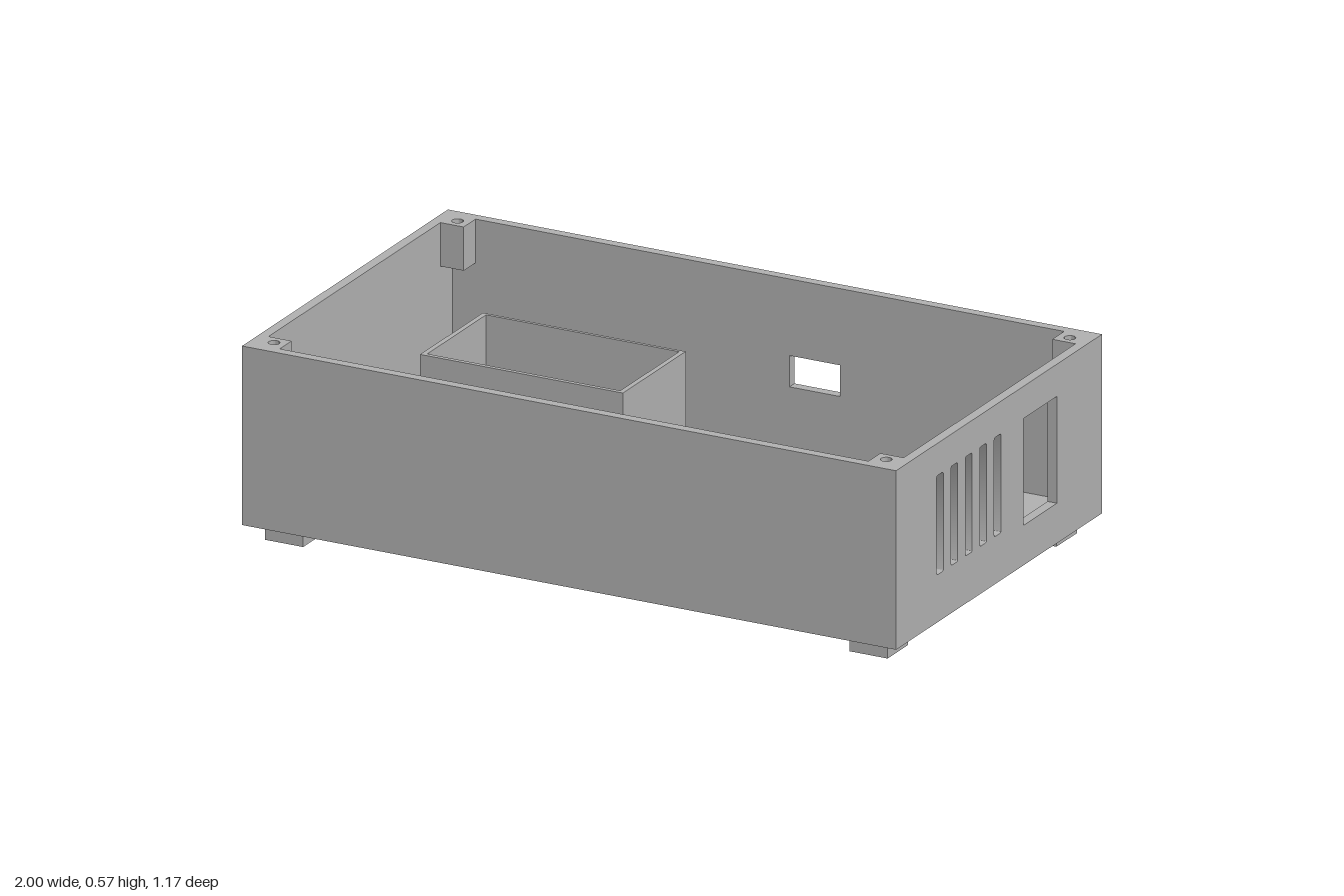
import * as THREE from 'three';
import { toCreasedNormals } from 'three/addons/utils/BufferGeometryUtils.js';

const D = 0.587, T = 0.029;             // half depth, wall thickness
const BASE = 0.05, FLOOR = 0.08, TOP = 0.566;

export function createModel() {
  const model = new THREE.Group();
  model.name = 'enclosure';
  const grey = new THREE.MeshStandardMaterial({ color: 0xb3b3b3 });
  grey.name = 'grey plastic';

  const rect = (a, b, c, d, r = 0, Kind = THREE.Path) => {
    const p = new Kind();
    if (!r) {
      p.moveTo(a, b).lineTo(c, b).lineTo(c, d).lineTo(a, d).closePath();
      return p;
    }
    p.absarc(c - r, b + r, r, -Math.PI / 2, 0);
    p.absarc(c - r, d - r, r, 0, Math.PI / 2);
    p.absarc(a + r, d - r, r, Math.PI / 2, Math.PI);
    p.absarc(a + r, b + r, r, Math.PI, Math.PI * 1.5);
    p.closePath();
    return p;
  };
  const solid = (a, b, c, d) => rect(a, b, c, d, 0, THREE.Shape);
  const circle = (x, y, r, Kind = THREE.Path) => {
    const p = new Kind();
    p.absarc(x, y, r, 0, Math.PI * 2);
    return p;
  };
  const plate = (shape, holes, depth) => {
    shape.holes.push(...holes);
    const g = new THREE.ExtrudeGeometry(shape, { depth, bevelEnabled: false, curveSegments: 16 });
    return toCreasedNormals(g, 0.6);
  };
  const add = (name, geometry, x = 0, y = 0, z = 0) => {
    const m = new THREE.Mesh(geometry, grey);
    m.name = name;
    m.position.set(x, y, z);
    model.add(m);
    return m;
  };
  // Horizontal slab: outline in x and z, hanging down from y = top
  const slab = (name, shape, holes, bottom, top) =>
    add(name, plate(shape, holes, top - bottom).rotateX(Math.PI / 2), 0, top, 0);
  // Side wall: outline in z and y, extending towards -x from the given x
  const sideWall = (name, holes, x) =>
    add(name, plate(solid(-D + T, FLOOR, D - T, TOP), holes, T).rotateY(-Math.PI / 2), x, 0, 0);

  // Floor with the well opening and two screw holes
  const throughBosses = [[-0.918, -0.355], [-0.19, -0.355]];
  const well = [-0.85, -0.525, -0.26, -0.19];
  slab('floor', solid(-1, -D, 1, D),
    [rect(...well), ...throughBosses.map(([x, z]) => circle(x, z, 0.017))], BASE, FLOOR);

  // Front and back walls
  add('frontWall', plate(solid(-1, FLOOR, 1, TOP), [], T), 0, 0, D - T);
  add('backWall', plate(solid(-1, FLOOR, 1, TOP), [rect(0.06, 0.255, 0.215, 0.345)], T), 0, 0, -D);

  // Side wall at +x: vent slots and a tall window
  const vents = [rect(-0.33, 0.165, -0.138, 0.473)];
  for (let i = 0; i < 5; i++) {
    const z = 0.0085 + i * 0.082;
    vents.push(rect(z - 0.019, 0.187, z + 0.019, 0.473, 0.006));
  }
  sideWall('ventWall', vents, 1);

  // Side wall at -x: two connector openings
  sideWall('connectorWall', [rect(0, 0.13, 0.182, 0.308), rect(0.387, 0.13, 0.517, 0.305)], -1 + T);

  // Lid screw posts in the top corners
  for (const sx of [-1, 1]) for (const sz of [-1, 1]) {
    const xs = [0.9 * sx, (1 - T) * sx].sort((a, b) => a - b);
    const zs = [0.49 * sz, (D - T) * sz].sort((a, b) => a - b);
    slab('cornerPost', solid(xs[0], zs[0], xs[1], zs[1]),
      [circle(0.936 * sx, 0.523 * sz, 0.016)], 0.44, TOP);
  }

  // Open well rising from the floor
  slab('well', solid(-0.865, -0.535, -0.245, -0.177), [rect(...well)], FLOOR, 0.31);

  // Screw bosses
  const boss = (name, [x, z], r, top) =>
    slab(name, circle(x, z, r, THREE.Shape), [circle(x, z, 0.017)], FLOOR, top);
  throughBosses.forEach(p => boss('wellBoss', p, 0.04, 0.147));
  [[-0.77, -0.065], [-0.172, 0.115], [-0.172, 0.445], [-0.786, 0.503]]
    .forEach(p => boss('boardBoss', p, 0.035, 0.127));

  // Low board rails
  for (const [z, w] of [[-0.123, 0.012], [0.537, 0.014]])
    add('boardRail', new THREE.BoxGeometry(0.99, 0.05, w), 0.415, FLOOR + 0.025, z);

  // Feet: the back one beside the well sits near the middle
  for (const [x, z] of [[-0.896, 0.482], [0.891, 0.482], [0.891, -0.48], [-0.027, -0.48]])
    add('foot', new THREE.BoxGeometry(0.117, BASE, 0.117), x, BASE / 2, z);

  return model;
}
